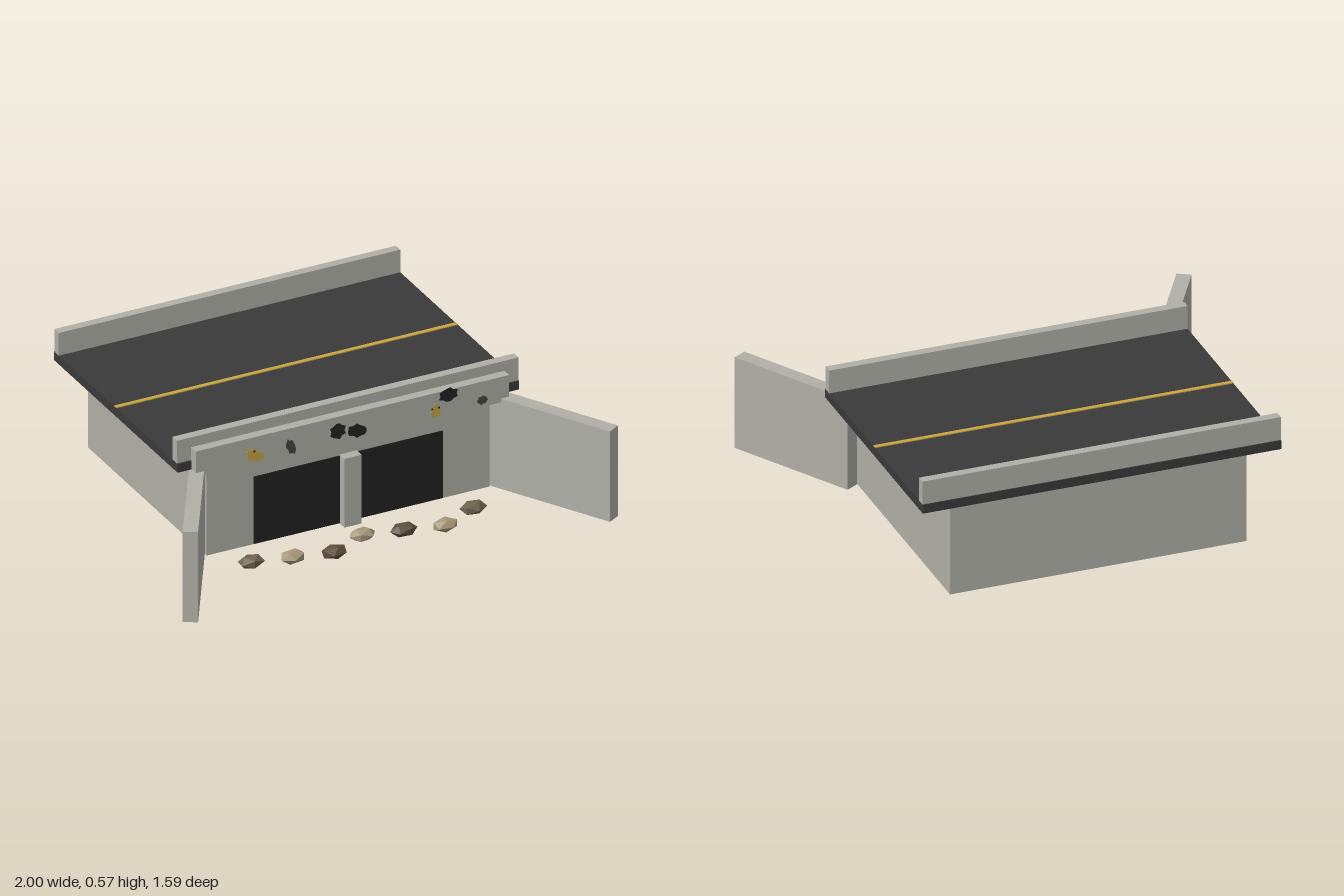
import * as THREE from 'three';

const material = (name, color, extra = {}) => {
  const m = new THREE.MeshStandardMaterial({ color, ...extra });
  m.name = name;
  return m;
};

export function createModel() {
  const model = new THREE.Group();
  model.name = 'roadCulvert';
  const concrete = material('concrete', 0xb0b0a8);
  const asphalt = material('asphalt', 0x3a3a3a);
  const black = material('black', 0x222222);
  const charcoal = material('charcoal', 0x444444);
  const yellow = material('yellow', 0xc9a543);
  const darkStone = material('darkStone', 0x5f5040);
  const greyStone = material('greyStone', 0x6f634e);
  const tanStone = material('tanStone', 0xa8987a);

  const add = (name, geometry, mat) => {
    const mesh = new THREE.Mesh(geometry, mat);
    mesh.name = name;
    model.add(mesh);
    return mesh;
  };
  // box given by its limits on each axis
  const box = (name, mat, [x0, x1], [y0, y1], [z0, z1]) => {
    const mesh = add(name, new THREE.BoxGeometry(x1 - x0, y1 - y0, z1 - z0), mat);
    mesh.position.set((x0 + x1) / 2, (y0 + y1) / 2, (z0 + z1) / 2);
    return mesh;
  };

  // culvert body, road deck and walls
  box('body', concrete, [-0.65, 0.65], [0.012, 0.43], [-0.755, 0.3]);
  box('roadDeck', asphalt, [-0.785, 0.785], [0.43, 0.47], [-0.797, 0.303]);
  box('centreLine', yellow, [-0.785, 0.785], [0.47, 0.474], [-0.26, -0.24]);
  box('frontParapet', concrete, [-0.785, 0.785], [0.469, 0.575], [0.257, 0.297]);
  box('backParapet', concrete, [-0.785, 0.785], [0.469, 0.575], [-0.792, -0.753]);
  box('headwall', concrete, [-0.72, 0.72], [0.413, 0.53], [0.298, 0.34]);
  box('centrePier', concrete, [-0.04, 0.04], [0.012, 0.33], [0.298, 0.344]);

  // mirrored openings and splayed wing walls
  for (const side of [-1, 1]) {
    const label = side > 0 ? 'left' : 'right';
    const opening = box(label + 'Opening', black, [-0.1975, 0.1975], [0.014, 0.325], [0.298, 0.304]);
    opening.position.x = side * 0.236;
    const wing = add(label + 'WingWall', new THREE.BoxGeometry(0.063, 0.418, 0.59), concrete);
    wing.position.set(side * 0.826, 0.221, 0.526);
    wing.rotation.y = side * Math.PI / 6;
  }

  // ragged flat stains on the headwall: x, y, width, height, lean, material
  const stains = [
    [-0.445, 0.44, 0.085, 0.05, -0.01, yellow],
    [-0.465, 0.464, 0.05, 0.03, 0, yellow],
    [-0.283, 0.445, 0.045, 0.075, -0.01, charcoal],
    [-0.068, 0.464, 0.075, 0.075, 0, black],
    [0.02, 0.445, 0.09, 0.065, -0.01, black],
    [0.382, 0.44, 0.05, 0.045, 0, yellow],
    [0.385, 0.464, 0.025, 0.035, 0, yellow],
    [0.44, 0.508, 0.09, 0.065, 0, black],
    [0.596, 0.445, 0.05, 0.042, 0, charcoal],
  ];
  stains.forEach(([x, y, w, h, lean, mat], k) => {
    const points = [];
    for (let i = 0; i < 14; i++) {
      const a = i / 14 * Math.PI * 2;
      const r = 0.46 + 0.07 * Math.sin(i * 2.6 + k * 1.7);
      points.push(new THREE.Vector2(Math.cos(a) * r * w + Math.sin(a) * lean, Math.sin(a) * r * h));
    }
    const geometry = new THREE.ExtrudeGeometry(new THREE.Shape(points), { depth: 0.002, bevelEnabled: false });
    add('stain' + (k + 1), geometry, mat).position.set(x, y, 0.34);
  });
  // small specks on the yellow stains
  for (const [x, y] of [[-0.452, 0.466], [0.365, 0.46], [0.396, 0.46]]) {
    const speck = add('speck', new THREE.CircleGeometry(0.005, 8), black);
    speck.position.set(x, y, 0.343);
  }

  // faceted stones in front of the openings
  const stoneMaterials = [greyStone, tanStone, darkStone, tanStone, darkStone, tanStone, greyStone];
  for (const m of stoneMaterials) m.flatShading = true;
  stoneMaterials.forEach((mat, i) => {
    const geometry = new THREE.IcosahedronGeometry(1, 0);
    geometry.rotateY(i * 0.9);
    geometry.scale(0.061, 0.03, 0.041);
    const stone = add('stone' + (i + 1), geometry, mat);
    stone.position.set(-0.525 + i * 0.17, 0.028, 0.455 + (i % 3) * 0.04);
  });

  return model;
}
